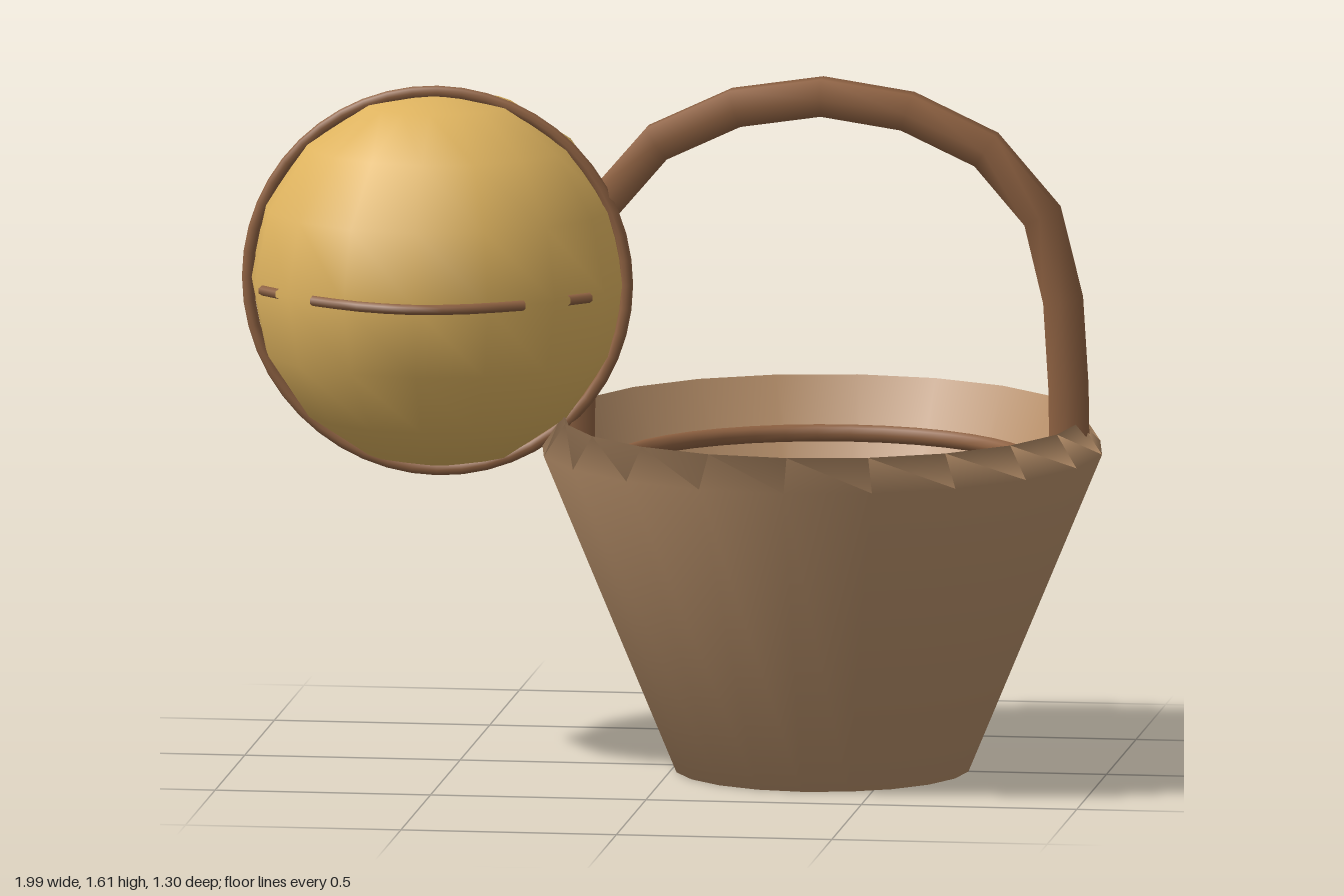
import * as THREE from 'three';

const mat = (name, color) => {
  const m = new THREE.MeshStandardMaterial({ color });
  m.name = name;
  return m;
};

export function createModel() {
  const model = new THREE.Group();
  const wicker = mat('wicker tan', 0xb8906a);
  const wood = mat('wood brown', 0x8f6242);
  const gold = mat('straw gold', 0xdeb35f);

  const add = (parent, name, geometry, material, x = 0, y = 0, z = 0) => {
    const mesh = new THREE.Mesh(geometry, material);
    mesh.name = name;
    mesh.position.set(x, y, z);
    parent.add(mesh);
    return mesh;
  };
  const tube = (points, segments, radius, sides) => new THREE.TubeGeometry(
    new THREE.CatmullRomCurve3(points.map(p => new THREE.Vector3(...p))), segments, radius, sides);

  // Basket: tapered bucket with a bevelled rim and a hollow inside
  const basket = new THREE.Group();
  basket.name = 'basket';
  basket.position.x = 0.34;
  model.add(basket);
  const profile = [[0, 0], [0.34, 0], [0.65, 0.745], [0.6, 0.82], [0.29, 0.07], [0, 0.07]];
  add(basket, 'basketBody',
    new THREE.LatheGeometry(profile.map(p => new THREE.Vector2(...p)), 20), wicker);

  // Hoops lining the inside
  for (const [radius, y] of [[0.495, 0.7], [0.415, 0.49], [0.312, 0.23]]) {
    add(basket, 'innerHoop', new THREE.TorusGeometry(radius, 0.02, 8, 40), wood, 0, y)
      .rotation.x = Math.PI / 2;
  }

  // Arched handle, mirrored about the basket's middle
  const half = [[0.575, 0.7], [0.572, 0.9], [0.56, 1.1], [0.525, 1.27], [0.42, 1.42], [0.215, 1.53]];
  const arch = [
    ...half.map(([x, y]) => [-x, y, 0]),
    [0, 1.565, 0],
    ...half.slice().reverse().map(([x, y]) => [x, y, 0]),
  ];
  add(basket, 'handle', tube(arch, 12, 0.05, 6), wood);

  // Ball hanging at the right of the basket
  const ball = new THREE.Group();
  ball.name = 'ball';
  ball.position.set(-0.547, 1.123, 0);
  model.add(ball);
  add(ball, 'ballBody', new THREE.SphereGeometry(0.44, 16, 8), gold);
  add(ball, 'ballHoop', new THREE.TorusGeometry(0.44, 0.014, 8, 48), wood, 0, 0, 0.04);

  // Thin strip across the front, with a short stitch at each side
  const strip = [[-0.245, 0, 0.365], [-0.13, 0, 0.432], [0, 0, 0.462], [0.13, 0, 0.432], [0.245, 0, 0.365]];
  add(ball, 'frontStrip', tube(strip, 8, 0.012, 6), wood);
  for (const s of [-1, 1]) {
    add(ball, 'sideStitch', tube([[s * 0.335, 0, 0.28], [s * 0.38, 0, 0.235]], 1, 0.012, 6), wood);
  }

  return model;
}
